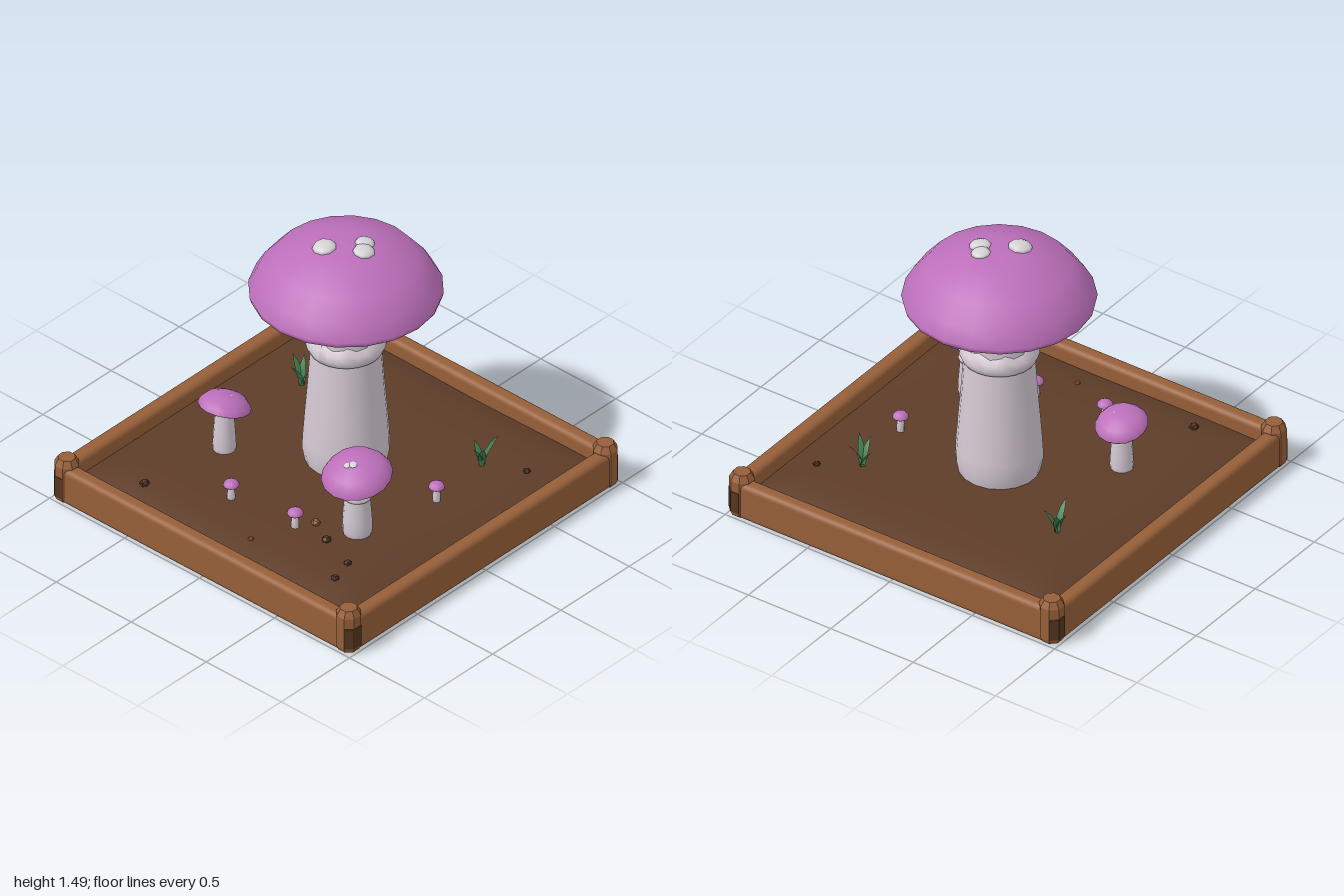
import * as THREE from 'three';
import { RoundedBoxGeometry } from 'three/addons/geometries/RoundedBoxGeometry.js';

const paint = (name, color, side = THREE.FrontSide) => {
  const m = new THREE.MeshStandardMaterial({ color, side });
  m.name = name;
  return m;
};

export function createModel() {
  const model = new THREE.Group();
  model.name = 'mushroomPlanter';

  const wood = paint('wood', 0x965f39);
  const darkWood = paint('darkWood', 0x54351f);
  const soilBrown = paint('soilBrown', 0x5e3d29, THREE.DoubleSide);
  const purple = paint('capPurple', 0xbc6fba);
  const pale = paint('stemPale', 0xd5c9d3);
  const gillGrey = paint('gillGrey', 0xbdb4bb);
  const spotWhite = paint('spotWhite', 0xd6d3d6);
  const green = paint('grassGreen', 0x3f7d4d, THREE.DoubleSide);
  const pebbleTan = paint('pebbleTan', 0x8f5f38);
  const pebbleDark = paint('pebbleDark', 0x4f3321);

  const add = (parent, name, geometry, material, x = 0, y = 0, z = 0) => {
    const mesh = new THREE.Mesh(geometry, material);
    mesh.name = name;
    mesh.position.set(x, y, z);
    parent.add(mesh);
    return mesh;
  };
  const lathe = (points, sides) =>
    new THREE.LatheGeometry(points.map(([r, y]) => new THREE.Vector2(r, y)), sides);

  // Frame: one rail and one corner post, repeated around the square
  const postShape = lathe([[0, 0.01], [0.056, 0.01], [0.065, 0.03], [0.065, 0.215],
    [0.045, 0.25], [0, 0.25]], 8).rotateY(Math.PI / 8).toNonIndexed();
  postShape.computeVertexNormals();
  for (let i = 0; i < 4; i++) {
    const side = new THREE.Group();
    side.name = 'frameSide';
    side.rotation.y = i * Math.PI / 2;
    model.add(side);
    add(side, 'rail', new RoundedBoxGeometry(1.88, 0.21, 0.085, 3, 0.03), wood, 0, 0.105, 0.952);
    add(side, 'cornerPost', postShape, wood, -0.94, 0, 0.94);
    // dark worn patches at the foot of the post
    for (const angle of [0, -Math.PI / 4]) {
      const patch = add(side, 'postPatch', new THREE.BoxGeometry(0.049, 0.12, 0.004), darkWood,
        -0.94 + Math.sin(angle) * 0.061, 0.095, 0.94 + Math.cos(angle) * 0.061);
      patch.rotation.y = angle;
    }
  }

  // Soil: nearly flat, sinking toward the frame
  const soilHeight = (x, z) => {
    const edge = Math.max(Math.abs(x), Math.abs(z)) / 0.93;
    return 0.172 - 0.06 * edge ** 8 + 0.004 * Math.sin(5 * x + 1) * Math.cos(4 * z);
  };
  const soil = new THREE.PlaneGeometry(1.86, 1.86, 20, 20).rotateX(-Math.PI / 2);
  const ground = soil.attributes.position;
  for (let i = 0; i < ground.count; i++) ground.setY(i, soilHeight(ground.getX(i), ground.getZ(i)));
  soil.computeVertexNormals();
  add(model, 'soil', soil, soilBrown);

  // Mushroom cap: dome, flat gills and flattened spots [x, y, z, radius]
  const addCap = (parent, radius, height, y, tilt, sides, spots = []) => {
    const cap = new THREE.Group();
    cap.name = 'cap';
    cap.position.y = y;
    cap.rotation.x = tilt;
    parent.add(cap);
    const dome = [[0.93, 0], [0.985, 0.04], [1, 0.13], [0.91, 0.38], [0.74, 0.7],
      [0.4, 0.94], [0.2, 0.985], [0, 1]];
    add(cap, 'capDome', lathe(dome.map(([r, h]) => [r * radius, h * height]), sides), purple);
    add(cap, 'gills', lathe([[0, 0.04 * height], [0.6 * radius, 0.03 * height],
      [0.935 * radius, 0]], sides), gillGrey);
    for (const [sx, sy, sz, r] of spots) {
      const spot = add(cap, 'spot', new THREE.SphereGeometry(r, 9, 6), spotWhite, sx, sy, sz);
      spot.scale.y = 0.45;
      spot.rotation.set(sz / radius * 0.5, 0, -sx / radius * 0.5);
    }
  };

  // Collar around a stem, its upper edge scalloped by a rule
  const addCollar = (parent, radius, y, height, wave) => {
    const geometry = lathe([[0.86, 0], [0.95, 0], [1.02, 0.35], [0.97, 0.72], [0.85, 1]]
      .map(([r, h]) => [r * radius, y + h * height]), 24);
    const p = geometry.attributes.position;
    for (let i = 0; i < p.count; i++) {
      if (p.getY(i) < y + height * 0.6) continue;
      p.setY(i, p.getY(i) + wave * Math.cos(8 * Math.atan2(p.getX(i), p.getZ(i))));
    }
    geometry.computeVertexNormals();
    add(parent, 'collar', geometry, pale);
  };

  const addMushroom = (name, x, z) => {
    const group = new THREE.Group();
    group.name = name;
    group.position.set(x, 0, z);
    model.add(group);
    return group;
  };

  // Large mushroom
  const big = addMushroom('largeMushroom', 0, -0.073);
  add(big, 'stem', lathe([[0, 0.12], [0.19, 0.12], [0.205, 0.17], [0.219, 0.24], [0.217, 0.31],
    [0.207, 0.45], [0.193, 0.62], [0.178, 0.84], [0.168, 0.95], [0.16, 1.165]], 18), pale);
  addCollar(big, 0.198, 0.835, 0.095, 0.012);
  addCap(big, 0.485, 0.308, 1.16, 0, 20,
    [[-0.06, 0.3, 0.093, 0.062], [0.065, 0.302, -0.067, 0.05], [0.108, 0.3, -0.012, 0.056]]);

  // Medium mushroom leaning forward
  const medium = addMushroom('mediumMushroom', 0.47, 0.36);
  add(medium, 'stem', lathe([[0, 0.13], [0.065, 0.13], [0.076, 0.2], [0.074, 0.26],
    [0.064, 0.39], [0.057, 0.52]], 14), pale);
  addCollar(medium, 0.074, 0.385, 0.035, 0.004);
  addCap(medium, 0.18, 0.113, 0.505, 0.2, 16,
    [[0.015, 0.109, 0.025, 0.022], [-0.008, 0.108, 0.045, 0.018]]);

  // Small mushroom leaning back
  const small = addMushroom('smallMushroom', -0.49, 0.28);
  add(small, 'stem', lathe([[0, 0.13], [0.055, 0.13], [0.06, 0.19], [0.055, 0.28],
    [0.045, 0.425]], 14), pale);
  addCap(small, 0.135, 0.08, 0.418, -0.25, 16, [[0.032, 0.075, 0, 0.008]]);

  // Tiny mushrooms
  for (const [x, z] of [[-0.18, 0.57], [0.215, 0.535], [0.58, -0.1]]) {
    const tiny = addMushroom('tinyMushroom', x, z);
    add(tiny, 'stem', lathe([[0, 0.14], [0.02, 0.14], [0.02, 0.2], [0.015, 0.255]], 8), pale);
    addCap(tiny, 0.042, 0.032, 0.248, 0, 10);
  }

  // Grass blades: tapered strips bent outward
  const blade = (width, height, bend) => {
    const geometry = new THREE.PlaneGeometry(width, height, 2, 4).translate(0, height / 2, 0);
    const p = geometry.attributes.position;
    for (let i = 0; i < p.count; i++) {
      const t = p.getY(i) / height;
      const fold = p.getX(i) === 0 ? 0.008 * (1 - t) : 0;
      p.setX(i, p.getX(i) * (0.6 + 1.6 * t) * (1 - t * t));
      p.setZ(i, bend * t * t - fold);
    }
    geometry.computeVertexNormals();
    return geometry;
  };
  for (const [x, z, turn] of [[-0.565, -0.37, 0], [0.55, -0.465, 2.6]]) {
    const tuft = addMushroom('grassTuft', x, z);
    tuft.rotation.y = turn;
    [[0.1, 0.17, 0.09], [1.9, 0.13, 0.07], [3.7, 0.15, 0.07], [4.5, 0.16, 0.08]]
      .forEach(([angle, height, bend]) => {
        add(tuft, 'grassBlade', blade(0.036, height, bend), green, 0, 0.16, 0).rotation.y = angle;
      });
  }

  // Pebbles
  const pebbles = [[0.745, -0.58, 0.02], [0.275, 0.45, 0.026, 1], [0.41, 0.52, 0.027],
    [0.62, 0.595, 0.022], [0.655, 0.725, 0.023], [-0.58, 0.765, 0.027], [0.115, 0.75, 0.016, 1]];
  pebbles.forEach(([x, z, r, tan], i) => {
    const stone = add(model, 'pebble', new THREE.IcosahedronGeometry(r, 0),
      tan ? pebbleTan : pebbleDark, x, soilHeight(x, z) + r * 0.3, z);
    stone.scale.y = 0.75;
    stone.rotation.y = i * 1.3;
  });

  return model;
}
